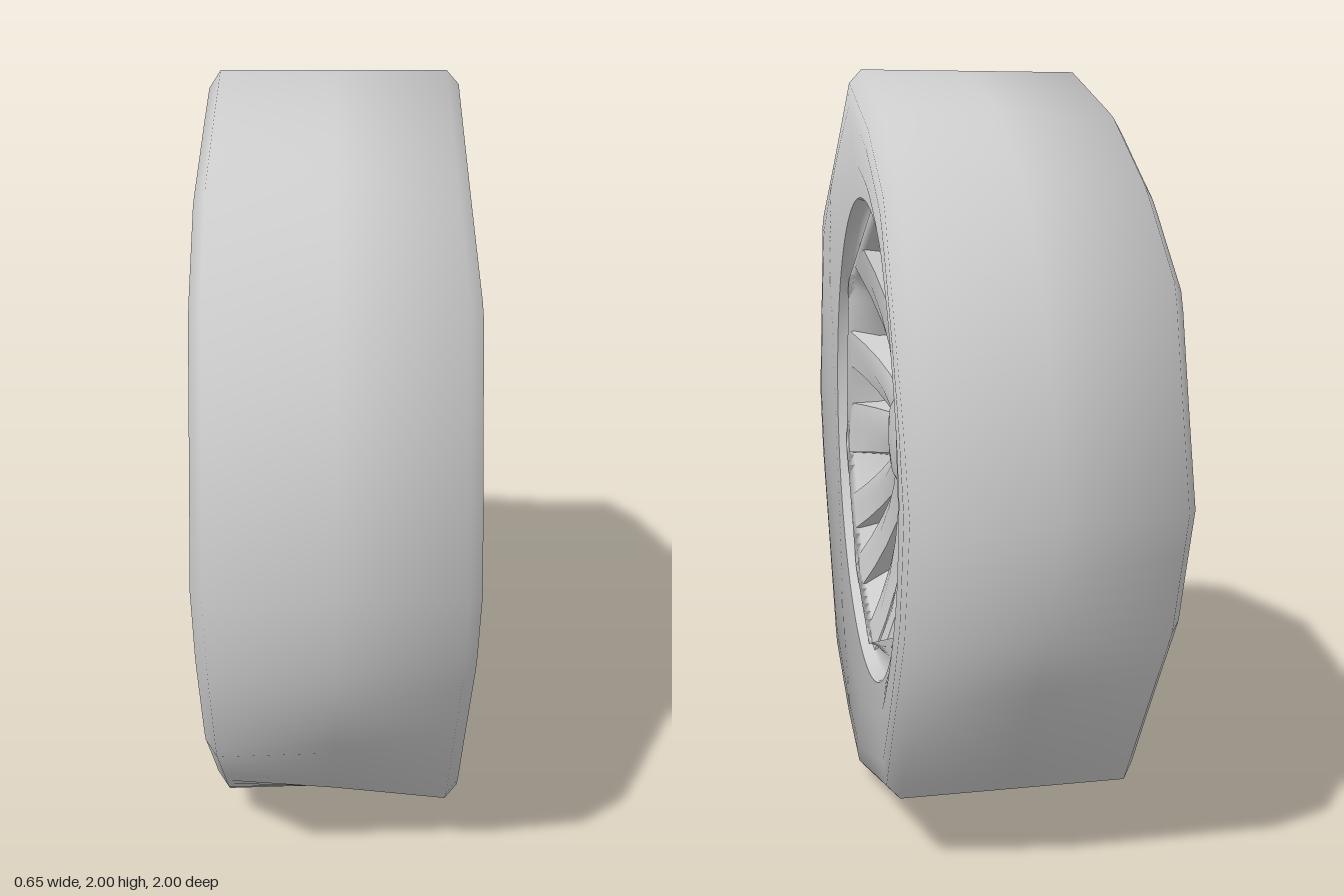
import * as THREE from 'three';

const N = 120; // angular steps round the wheel
const grey = () => new THREE.MeshStandardMaterial({ color: 0xcccccc, side: THREE.DoubleSide });

// Radius of an angular outline (points around the axle) at angle a
function outline(points) {
  const p = points
    .map(([u, y]) => ({ u, v: y - 1, a: (Math.atan2(y - 1, u) + 2 * Math.PI) % (2 * Math.PI) }))
    .sort((m, n) => m.a - n.a);
  return (a) => {
    let i = p.findIndex((q) => q.a > a + 1e-9);
    if (i < 0) i = 0;
    const A = p[(i + p.length - 1) % p.length], B = p[i];
    const du = B.u - A.u, dv = B.v - A.v;
    return (A.u * dv - A.v * du) / (Math.cos(a) * dv - Math.sin(a) * du);
  };
}

// Skin rings { x, r(angle), tilt } round the axle; tilt (degrees from radial
// towards +x) gives a soft normal that ignores the uneven outline
function loft(rings) {
  const pos = [], nor = [], idx = [];
  rings.forEach(({ x, r, tilt = 0 }) => {
    const t = THREE.MathUtils.degToRad(tilt);
    for (let j = 0; j < N; j++) {
      const a = (j / N) * 2 * Math.PI, rad = r(a);
      pos.push(x, 1 + rad * Math.sin(a), -rad * Math.cos(a));
      nor.push(Math.sin(t), Math.cos(t) * Math.sin(a), -Math.cos(t) * Math.cos(a));
    }
  });
  for (let i = 0; i < rings.length - 1; i++) {
    for (let j = 0; j < N; j++) {
      const k = (j + 1) % N;
      const a = i * N + j, b = a + N, c = (i + 1) * N + k, d = i * N + k;
      idx.push(a, b, c, a, c, d);
    }
  }
  const g = new THREE.BufferGeometry();
  g.setAttribute('position', new THREE.Float32BufferAttribute(pos, 3));
  g.setAttribute('normal', new THREE.Float32BufferAttribute(nor, 3));
  g.setIndex(idx);
  return g;
}

// Flat ring or disc extruded along the axle, from x0 to x1
function axleExtrude(shape, x0, x1) {
  const g = new THREE.ExtrudeGeometry(shape, { depth: x1 - x0, bevelEnabled: false, curveSegments: 32 });
  return g.rotateY(Math.PI / 2).translate(x0, 1, 0);
}

function disc(radius, holes) {
  const s = new THREE.Shape().absarc(0, 0, radius, 0, Math.PI * 2);
  holes.forEach(([x, y, r]) => s.holes.push(new THREE.Path().absarc(x, y, r, 0, Math.PI * 2, true)));
  return s;
}

export function createModel() {
  const group = new THREE.Group();
  const add = (name, geometry, parent = group) => {
    const mesh = new THREE.Mesh(geometry, grey());
    mesh.name = name;
    parent.add(mesh);
    return mesh;
  };

  // Uneven faceted outlines of the outer and inner tyre shoulders
  const shared = [[0, 2], [0.38, 1.87], [0.65, 1.7], [1, 1], [0.91, 0.7], [0.58, 0.2],
    [-0.94, 0.78], [-1, 1], [-0.8, 1.6]];
  const outer = outline([...shared, [0.92, 1.2], [0, 0.02], [-0.27, 0.075], [-0.6, 0.2]]);
  const inner = outline([...shared, [0.87, 1.49], [0, 0], [-0.41, 0.1], [-0.78, 0.46], [-0.58, 1.81], [-0.2, 1.94]]);
  const lip = () => 0.665;
  const side = (f, t, drop = 0) => (a) => 0.665 + (f(a) - drop - 0.665) * t;

  // Tyre: sidewall, shoulder, tread, shoulder, sidewall
  add('tyre', loft([
    { x: 0.295, r: lip, tilt: 80 },
    { x: 0.315, r: side(outer, 0.3), tilt: 75 },
    { x: 0.325, r: side(outer, 0.7), tilt: 65 },
    { x: 0.322, r: side(outer, 1, 0.035), tilt: 48 },
    { x: 0.29, r: outer, tilt: 35 },
    { x: 0, r: (a) => (outer(a) + inner(a)) / 2, tilt: 0 },
    { x: -0.29, r: inner, tilt: -35 },
    { x: -0.32, r: side(inner, 1, 0.045), tilt: -70 },
    { x: -0.325, r: side(inner, 0.6), tilt: -88 },
    { x: -0.315, r: lip, tilt: -90 },
  ]));

  // Rim: stepped inner lip, tapering barrel, uneven face opening, grooved flange, outer lip
  const face = outline([[0.07, 1.65], [-0.52, 1.4], [-0.64, 0.86], [-0.43, 0.51],
    [-0.14, 0.36], [0.51, 0.6], [0.38, 1.55]]);
  const barrel = (r) => (a) => Math.min(face(a) + 0.02, r);
  const rim = loft([
    { x: -0.315, r: lip },
    { x: -0.3, r: () => 0.64 },
    { x: -0.26, r: () => 0.63 },
    { x: -0.25, r: () => 0.605 },
    { x: -0.2, r: () => 0.58 },
    { x: 0.02, r: barrel(0.55) },
    { x: 0.18, r: barrel(0.56) },
    { x: 0.25, r: face },
    { x: 0.272, r: face },
    { x: 0.245, r: (a) => face(a) * 0.45 + 0.65 * 0.55 },
    { x: 0.262, r: () => 0.652 },
    { x: 0.295, r: lip },
  ]);
  rim.computeVertexNormals();
  add('rimBarrel', rim);

  // Spokes: [angle, outer width], broad enough to merge round the hub
  const spokes = new THREE.Group();
  spokes.name = 'spokes';
  group.add(spokes);
  [[8, 0.11], [38, 0.11], [65, 0.13], [88, 0.1], [124, 0.15], [162, 0.12], [187, 0.17],
    [212, 0.12], [230, 0.12], [256, 0.14], [280, 0.11], [304, 0.13], [337, 0.12]].forEach(([deg, width]) => {
    const a = THREE.MathUtils.degToRad(deg);
    const r0 = 0.1, r1 = face(a) + 0.01;
    const g = new THREE.BoxGeometry(1, 1, 1, 2, 5, 2);
    const p = g.attributes.position;
    for (let i = 0; i < p.count; i++) {
      const t = p.getY(i) + 0.5, front = p.getX(i) + 0.5, s = p.getZ(i);
      const r = r0 + (r1 - r0) * t;
      const w = (0.105 + (width - 0.105) * t) * s * (1.1 - 0.15 * front);
      // dished front with a raised central ridge near the hub
      const ridge = 0.03 * (1 - t) * (1 - 2 * Math.abs(s));
      const x = THREE.MathUtils.lerp(0.07 + 0.09 * t, 0.165 + 0.1 * t * t + ridge, front);
      p.setXYZ(i, x, 1 + r * Math.sin(a) + w * Math.cos(a), -r * Math.cos(a) + w * Math.sin(a));
    }
    g.computeVertexNormals();
    add('spoke', g, spokes);
  });

  // Hub with six bolt holes, and a shallow centre cap
  const holes = Array.from({ length: 6 }, (_, i) => {
    const a = Math.PI / 6 + (i * Math.PI) / 3;
    return [0.175 * Math.cos(a), 0.175 * Math.sin(a), 0.028];
  });
  add('hub', axleExtrude(disc(0.23, holes), 0.08, 0.165));
  const cap = [[0.115, 0], [0.115, 0.03], [0.1, 0.038], [0.05, 0.045], [0, 0.047]];
  add('centreCap', new THREE.LatheGeometry(cap.map(([r, h]) => new THREE.Vector2(r, h)), 32)
    .rotateZ(-Math.PI / 2).translate(0.175, 1, 0));

  // Brake disc ring and the mounting plate inside it
  add('brakeDisc', axleExtrude(disc(0.44, [[0, 0, 0.26]]), -0.07, -0.02));
  add('brakeMount', axleExtrude(disc(0.265, []), 0, 0.03));
  add('axleStub', new THREE.CylinderGeometry(0.13, 0.13, 0.06, 24).rotateZ(Math.PI / 2).translate(0.06, 1, 0));

  return group;
}
